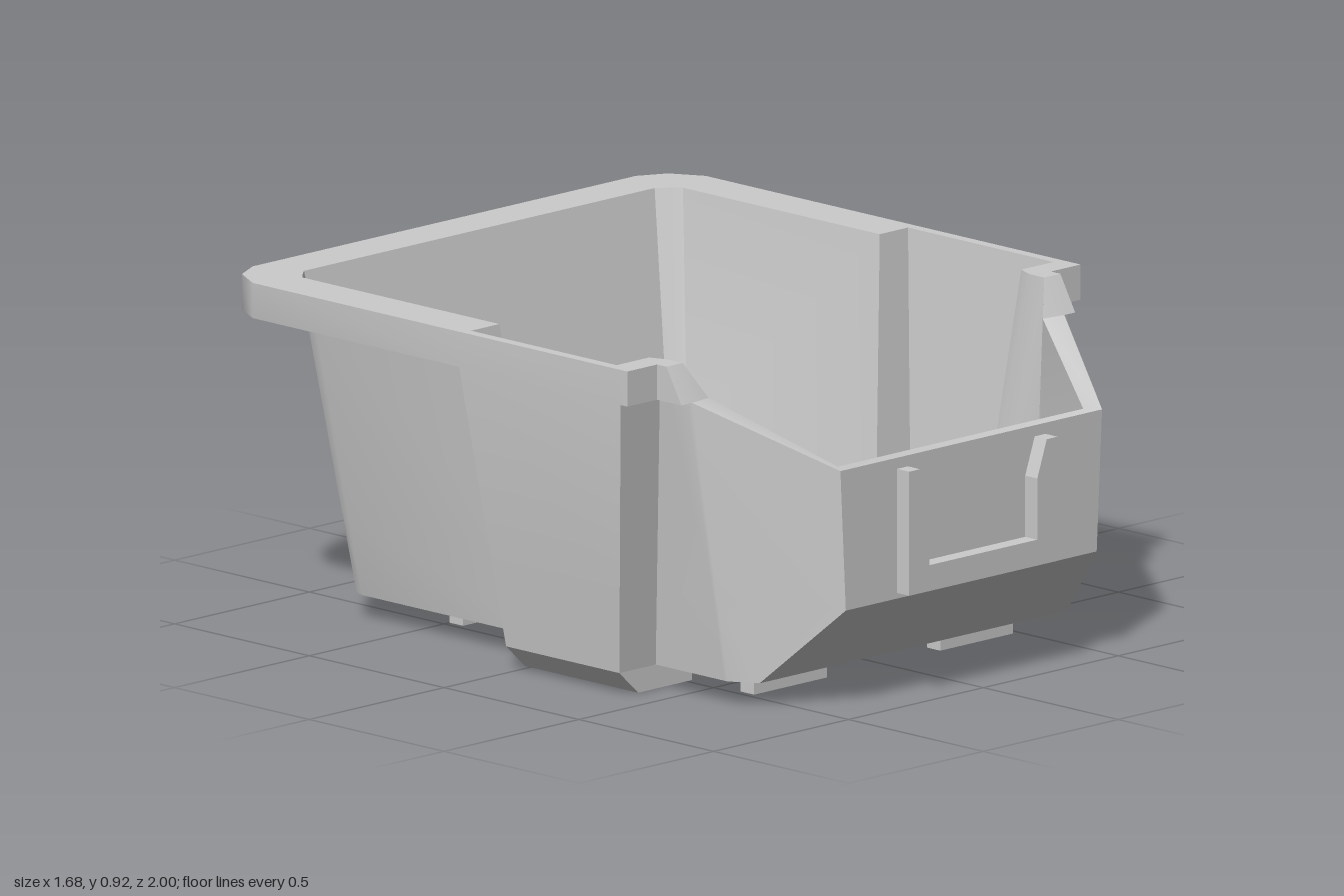
import * as THREE from 'three';
import { toCreasedNormals } from 'three/addons/utils/BufferGeometryUtils.js';

const BASE = 0.065, FLOOR = 0.1, LEDGE = 0.82, TOP = 0.915;

// One vertical section of the bin wall: from under the base, up the outside,
// over the rim and down the inside. Each argument is [x, z].
function section(bottom, under, rim, lip, floor, o = {}) {
  const yU = o.yUnder ?? LEDGE, yT = o.yTop ?? TOP;
  const at = ([x, z], y) => new THREE.Vector3(x, y, z);
  const b = at(bottom, BASE), u = at(under, yU), l = at(lip, yT), f = at(floor, FLOOR);
  return [
    at([0, bottom[1]], BASE), b,
    o.mid ? at(o.mid, 0.28) : b.clone().lerp(u, 0.285),
    u, at(rim, yU), at([rim[0], o.rimTopZ ?? rim[1]], yT), l,
    o.innerMid ? at(o.innerMid, 0.3) : f.clone().lerp(l, 0.245),
    f, at([0, floor[1]], FLOOR),
  ];
}

// Joins the sections into a skin and mirrors it to the other side
function skin(sections) {
  const pos = [];
  const tri = (a, b, c) => {
    const area = b.clone().sub(a).cross(c.clone().sub(a)).length();
    if (area < 1e-7) return;
    for (const p of [a, b, c]) pos.push(p.x, p.y, p.z);
    for (const p of [a, c, b]) pos.push(-p.x, p.y, p.z);
  };
  for (let i = 0; i < sections.length - 1; i++) {
    const s = sections[i], t = sections[i + 1];
    for (let j = 0; j < s.length - 1; j++) {
      tri(s[j], s[j + 1], t[j]);
      tri(s[j + 1], t[j + 1], t[j]);
    }
  }
  const g = new THREE.BufferGeometry();
  g.setAttribute('position', new THREE.Float32BufferAttribute(pos, 3));
  return toCreasedNormals(g, 0.62);
}

function extrude(points, depth, z) {
  const shape = new THREE.Shape(points.map(([x, y]) => new THREE.Vector2(x, y)));
  const g = new THREE.ExtrudeGeometry(shape, { depth, bevelEnabled: false });
  return g.translate(0, 0, z);
}

export function createModel() {
  const group = new THREE.Group();
  const material = new THREE.MeshStandardMaterial({ color: 0xcccccc });
  const add = (name, geometry) => {
    const mesh = new THREE.Mesh(geometry, material);
    mesh.name = name;
    group.add(mesh);
    return mesh;
  };

  const front = { yUnder: 0.66, yTop: 0.66 };
  add('binBody', skin([
    // back wall and chamfered back corner
    section([0, -0.74], [0, -0.86], [0, -1], [0, -0.87], [0, -0.71]),
    section([0.57, -0.74], [0.64, -0.86], [0.71, -1], [0.65, -0.87], [0.555, -0.71]),
    section([0.6, -0.725], [0.68, -0.835], [0.79, -0.96], [0.68, -0.845], [0.575, -0.695]),
    section([0.615, -0.69], [0.695, -0.79], [0.84, -0.87], [0.705, -0.82], [0.585, -0.68]),
    // side bulge
    section([0.615, -0.02], [0.69, -0.11], [0.84, -0.11], [0.705, -0.09], [0.6, 0]),
    section([0.75, -0.02], [0.835, -0.11], [0.84, -0.11], [0.81, -0.09], [0.73, 0]),
    section([0.75, 0.4], [0.835, 0.49], [0.84, 0.49], [0.81, 0.45], [0.73, 0.37]),
    section([0.615, 0.4], [0.69, 0.49], [0.84, 0.52], [0.69, 0.45], [0.6, 0.37]),
    // end of the rim, small tab and its slope
    section([0.615, 0.44], [0.69, 0.52], [0.73, 0.52], [0.67, 0.5], [0.59, 0.45]),
    section([0.615, 0.655], [0.695, 0.6], [0.73, 0.61], [0.67, 0.555], [0.565, 0.62], { rimTopZ: 0.555 }),
    section([0.615, 0.665], [0.69, 0.61], [0.69, 0.61], [0.62, 0.6], [0.56, 0.65], { yTop: LEDGE }),
    // low front wall
    section([0.57, 0.74], [0.485, 0.955], [0.485, 0.955], [0.455, 0.915], [0.545, 0.72],
      { ...front, mid: [0.465, 0.955], innerMid: [0.445, 0.915] }),
    section([0, 0.74], [0, 0.955], [0, 0.955], [0, 0.915], [0, 0.72],
      { ...front, mid: [0, 0.955], innerMid: [0, 0.915] }),
  ]));

  // U-shaped label holder on the front
  add('labelHolder', extrude([
    [-0.275, 0.295], [0.275, 0.295], [0.275, 0.63], [0.235, 0.63], [0.2, 0.53], [0.2, 0.365],
    [-0.2, 0.365], [-0.2, 0.53], [-0.235, 0.63], [-0.275, 0.63],
  ], 0.05, 0.95));

  for (const [side, s] of [['left', 1], ['right', -1]]) {
    // chamfered foot under each bulge
    add(side + 'Foot', extrude(
      [[0.48, 0], [0.68, 0], [0.75, BASE], [0.48, BASE]].map(([x, y]) => [s * x, y]), 0.42, -0.02));
    // stacking bars under the base
    for (const [end, z] of [['Front', 0.605], ['Back', -0.475]]) {
      add(side + end + 'Bar', new THREE.BoxGeometry(0.27, 0.07, 0.05))
        .position.set(s * 0.345, 0.035, z);
    }
  }
  return group;
}
